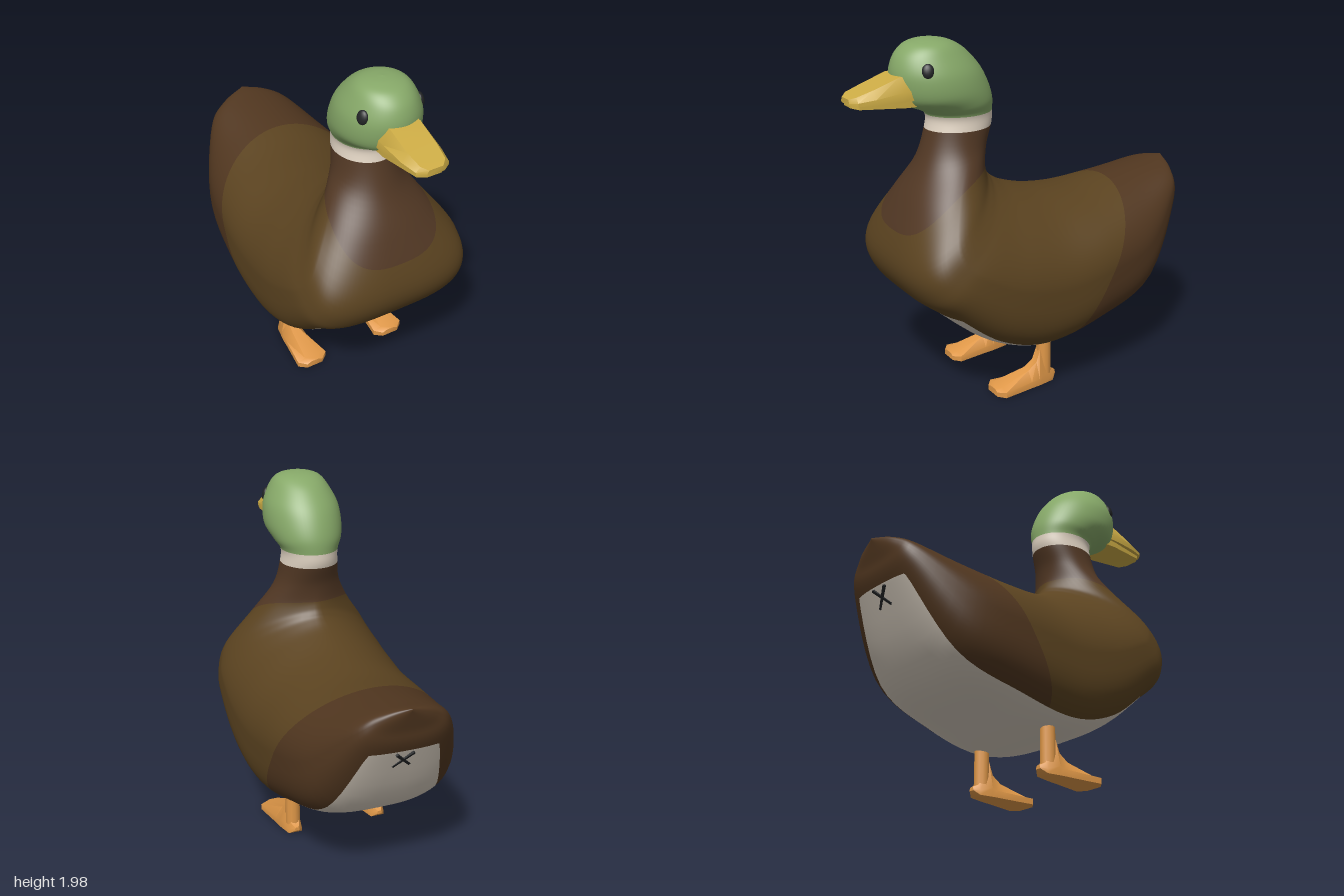
import * as THREE from 'three';
import { toCreasedNormals } from 'three/addons/utils/BufferGeometryUtils.js';

const mat = (color) => new THREE.MeshStandardMaterial({ color });
const COLORS = {
  head: 0x86a868, neckRing: 0xe0d3c2, chest: 0x523824, belly: 0xd2c8ba,
  tail: 0x50361f, wings: 0x5b4320, bill: 0xcdac45, leg: 0xe09848, dark: 0x222426,
};

// Body sections from tail to crown: back z, y, front (belly) z, y, half width,
// then front roundness (2 = elliptical) and place of the widest point (0.5 = middle)
const TRUNK = [
  [-1.0, 1.12, -1.0, 1.11, 0, 2.6],
  [-0.95, 1.115, -0.972, 1.0, 0.155, 2.6],
  [-0.85, 1.1, -0.93, 0.85, 0.27, 2.7],
  [-0.6, 1.07, -0.68, 0.435, 0.42, 3],
  [-0.35, 1.05, -0.3, 0.295, 0.485, 3.3],
  [-0.1, 1.08, 0.05, 0.24, 0.505, 3.5, 0.53],
  [0.1, 1.14, 0.35, 0.33, 0.515, 3.5, 0.57],
  [0.185, 1.19, 0.62, 0.54, 0.508, 3.5, 0.63],
  [0.21, 1.22, 0.76, 0.66, 0.485, 3.4, 0.65],
  [0.225, 1.25, 0.81, 0.83, 0.43, 3, 0.65],
  [0.235, 1.3, 0.715, 1.1, 0.29, 2.4, 0.58],
];
const NECK_AND_HEAD = [
  [0.225, 1.39, 0.605, 1.32, 0.19],
  [0.185, 1.5, 0.55, 1.5, 0.16],
  [0.18, 1.57, 0.55, 1.57, 0.16],
  [0.185, 1.65, 0.59, 1.6, 0.19],
  [0.215, 1.74, 0.71, 1.66, 0.215],
  [0.26, 1.82, 0.745, 1.78, 0.208],
  [0.33, 1.9, 0.725, 1.88, 0.168],
  [0.395, 1.945, 0.67, 1.943, 0.128],
  [0.455, 1.966, 0.6, 1.968, 0.072],
  [0.53, 1.975, 0.53, 1.975, 0],
];
const SECTIONS = TRUNK.concat(NECK_AND_HEAD);
const curve = (pick) => new THREE.CatmullRomCurve3(SECTIONS.map(pick), false, 'catmullrom', 0.5);
const backLine = curve((s) => new THREE.Vector3(0, s[1], s[0]));
const frontLine = curve((s) => new THREE.Vector3(0, s[3], s[2]));
const shapeLine = curve(([, , , , width, round = 2, mid = 0.5]) => new THREE.Vector3(width, round, mid));

// Smooth skin through the sections, as triangles of [x,y,z, normal, angle from front]
function bodyTriangles() {
  const rows = (SECTIONS.length - 1) * 6, cols = 64;
  const pos = [], index = [], angle = [];
  const power = (v, e) => Math.sign(v) * Math.abs(v) ** e;
  for (let i = 0; i <= rows; i++) {
    const t = i / rows;
    const b = backLine.getPoint(t), f = frontLine.getPoint(t), { x: w, y: round, z: mid } = shapeLine.getPoint(t);
    for (let j = 0; j < cols; j++) {
      const a = (j / cols) * Math.PI * 2, c = Math.cos(a), s = Math.sin(a);
      // The back half grows more pointed as the widest point moves forward
      const e = c > 0 ? 2 / round : 2 * mid;
      const k = mid + (c > 0 ? 1 - mid : mid) * power(c, e);
      pos.push(Math.max(0, w) * power(s, e), b.y + (f.y - b.y) * k, b.z + (f.z - b.z) * k);
      angle.push(Math.min(a, Math.PI * 2 - a));
      if (i < rows) {
        const p = i * cols + j, q = i * cols + ((j + 1) % cols);
        index.push(p, q, p + cols, q, q + cols, p + cols);
      }
    }
  }
  const geo = new THREE.BufferGeometry();
  geo.setAttribute('position', new THREE.Float32BufferAttribute(pos, 3));
  geo.setIndex(index);
  geo.computeVertexNormals();
  const n = geo.attributes.normal.array;
  const vert = (i) => [...pos.slice(i * 3, i * 3 + 3), ...n.slice(i * 3, i * 3 + 3), angle[i]];
  const tris = [];
  for (let i = 0; i < index.length; i += 3) tris.push([vert(index[i]), vert(index[i + 1]), vert(index[i + 2])]);
  return tris;
}

// Cut triangles along rule(v) = 0, giving [inside, outside]
function split(tris, rule) {
  const out = [[], []];
  for (const tri of tris) {
    const dist = tri.map(rule).map((x) => (Math.abs(x) < 1e-6 ? 0 : x));
    [1, -1].forEach((side, k) => {
      const d = dist.map((x) => x * side);
      if (Math.max(...d) <= 0) return;
      const poly = [];
      tri.forEach((v, i) => {
        const j = (i + 1) % 3;
        if (d[i] >= 0) poly.push(v);
        if (d[i] * d[j] < 0) poly.push(v.map((x, m) => x + (tri[j][m] - x) * (d[i] / (d[i] - d[j]))));
      });
      for (let i = 2; i < poly.length; i++) out[k].push([poly[0], poly[i - 1], poly[i]]);
    });
  }
  return out;
}

function skinMesh(name, tris) {
  const geo = new THREE.BufferGeometry(), verts = tris.flat();
  geo.setAttribute('position', new THREE.Float32BufferAttribute(verts.flatMap((v) => v.slice(0, 3)), 3));
  geo.setAttribute('normal', new THREE.Float32BufferAttribute(verts.flatMap((v) => v.slice(3, 6)), 3));
  const mesh = new THREE.Mesh(geo, mat(COLORS[name]));
  mesh.name = name;
  return mesh;
}

// Closed loft through rings that run counter-clockwise seen from +z, ordered by rising z
function loft(name, rings, color, crease) {
  const n = rings[0].length, index = [];
  for (let i = 0; i < rings.length - 1; i++)
    for (let j = 0; j < n; j++) {
      const a = i * n + j, b = i * n + ((j + 1) % n);
      index.push(a, b, a + n, b, b + n, a + n);
    }
  const last = (rings.length - 1) * n;
  for (let j = 1; j < n - 1; j++) index.push(0, j + 1, j, last, last + j, last + j + 1);
  const geo = new THREE.BufferGeometry();
  geo.setAttribute('position', new THREE.Float32BufferAttribute(rings.flat(2), 3));
  geo.setIndex(index);
  const mesh = new THREE.Mesh(toCreasedNormals(geo, crease), mat(color));
  mesh.name = name;
  return mesh;
}

// Six-cornered ring: flat base, short sides, narrower top
const archRing = (z, w, y0, y1, top = 0.6, shoulder = 0.4) => {
  const ys = y0 + (y1 - y0) * shoulder;
  return [[-w, y0, z], [w, y0, z], [w, ys, z], [w * top, y1, z], [-w * top, y1, z], [-w, ys, z]];
};

export function createModel() {
  const duck = new THREE.Group();
  duck.name = 'duck';

  // Plumage: one skin divided into colour areas
  let part, rest = bodyTriangles();
  const areas = {
    head: ([, y]) => y - 1.57,
    neckRing: ([, y]) => y - 1.49,
    chest: ([, y, z]) => y - 1.28 + 1.02 * Math.max(0, z - 0.22) ** 2,
    belly: ([x, y, z, , , , a]) => Math.min(0.7 - a, 0.4 - Math.abs(x), (z > 0 ? 0.555 : 0.87) - y),
    tail: ([, y, z]) => (1.07 - y) * 0.587 - 0.57 - z,
  };
  for (const name in areas) {
    [part, rest] = split(rest, areas[name]);
    duck.add(skinMesh(name, part));
  }
  duck.add(skinMesh('wings', rest));

  // Bill
  duck.add(loft('upperBill', [
    archRing(0.6, 0.12, 1.685, 1.815, 0.65),
    archRing(0.74, 0.125, 1.685, 1.805, 0.68),
    archRing(0.88, 0.115, 1.685, 1.757, 0.72),
    archRing(0.97, 0.094, 1.685, 1.728, 0.75),
    archRing(1.0, 0.05, 1.685, 1.715, 0.8),
  ], COLORS.bill, 0.6));
  duck.add(loft('lowerBill', [
    archRing(0.6, 0.105, 1.645, 1.69, 1, 0.6),
    archRing(0.72, 0.11, 1.65, 1.69, 1, 0.6),
    archRing(0.96, 0.08, 1.665, 1.69, 1, 0.6),
    archRing(0.99, 0.04, 1.67, 1.69, 1, 0.6),
  ], COLORS.bill, 0.6));

  // Eyes, legs and webbed feet on both sides
  for (const side of [1, -1]) {
    const label = side > 0 ? 'left' : 'right';
    const eye = new THREE.Mesh(new THREE.SphereGeometry(1, 20, 14), mat(COLORS.dark));
    eye.name = label + 'Eye';
    eye.scale.set(0.017, 0.038, 0.031);
    eye.position.set(side * 0.167, 1.838, 0.62);
    eye.rotation.set(0, -side * 0.45, side * 0.25);
    duck.add(eye);

    const leg = new THREE.Group();
    leg.name = label + 'Leg';
    leg.position.x = side * 0.26;
    const shank = new THREE.Mesh(new THREE.CylinderGeometry(0.04, 0.042, 0.36, 12), mat(COLORS.leg));
    shank.name = 'shank';
    shank.position.set(0, 0.19, -0.016);
    leg.add(shank, loft('foot', [
      archRing(-0.085, 0.015, 0.025, 0.045),
      archRing(-0.055, 0.04, 0, 0.06),
      archRing(0.02, 0.055, 0, 0.2, 0.4, 0.25),
      archRing(0.045, 0.06, 0, 0.13, 0.4, 0.3),
      archRing(0.1, 0.066, 0, 0.092, 0.4, 0.4),
      archRing(0.28, 0.092, 0, 0.046, 0.5, 0.7),
      archRing(0.315, 0.05, 0, 0.036, 0.5, 0.7),
    ], COLORS.leg, 0.7));
    duck.add(leg);
  }

  // Small crossed mark under the tail
  const mark = new THREE.Group();
  mark.name = 'tailMark';
  mark.position.copy(frontLine.getPoint(2.12 / (SECTIONS.length - 1)));
  mark.rotation.x = -0.56;
  for (const turn of [0.75, -0.75]) {
    const bar = new THREE.Mesh(new THREE.BoxGeometry(0.014, 0.14, 0.014), mat(COLORS.dark));
    bar.name = 'markBar';
    bar.rotation.z = turn;
    mark.add(bar);
  }
  duck.add(mark);
  return duck;
}
